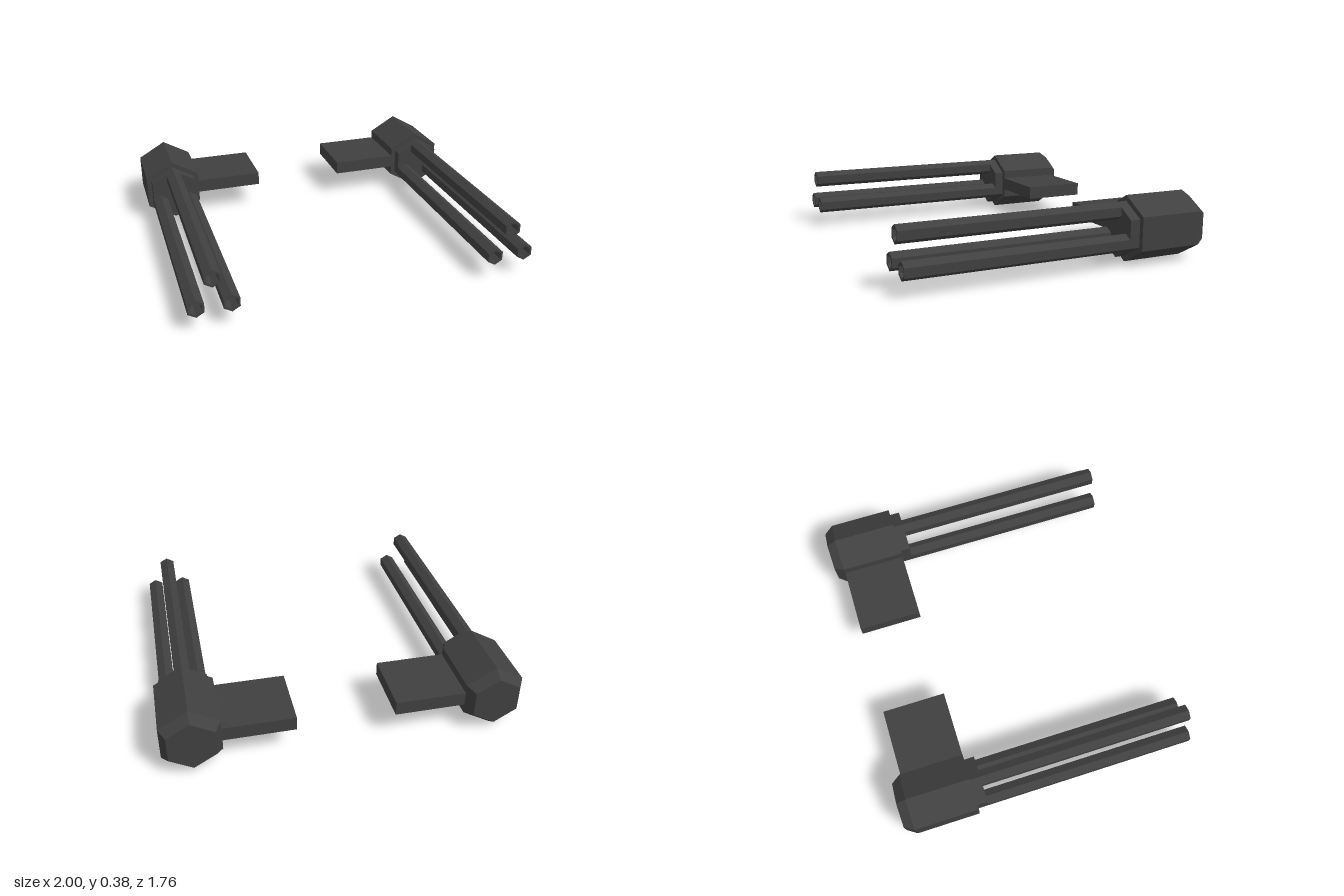
import * as THREE from 'three';

const AXIS_X = 0.837, AXIS_Y = 0.188;

// Six-sided solid along z from [radius, z] pairs, back to front
function hexTurned(name, profile, material) {
  const points = profile.map(([r, z]) => new THREE.Vector2(r, z));
  const geometry = new THREE.LatheGeometry(points, 6).rotateX(Math.PI / 2);
  const mesh = new THREE.Mesh(geometry, material);
  mesh.name = name;
  return mesh;
}

function createGun(side, material) {
  const gun = new THREE.Group();
  gun.name = side > 0 ? 'leftGun' : 'rightGun';
  gun.position.set(side * AXIS_X, AXIS_Y, 0);

  // Housing with a chamfered back
  gun.add(hexTurned('housing',
    [[0, -0.88], [0.147, -0.88], [0.188, -0.823], [0.188, -0.447], [0, -0.447]], material));

  // Collar that holds the barrels
  gun.add(hexTurned('collar',
    [[0, -0.447], [0.156, -0.447], [0.156, -0.388], [0, -0.388]], material));

  // Three hollow barrels, one on top and two below
  for (let i = 0; i < 3; i++) {
    const angle = Math.PI / 2 + i * Math.PI * 2 / 3;
    const barrel = hexTurned('barrel' + (i + 1),
      [[0.05, -0.39], [0.05, 0.88], [0.036, 0.88], [0.036, -0.386], [0, -0.386]], material);
    barrel.position.set(0.106 * Math.cos(angle), 0.106 * Math.sin(angle), 0);
    gun.add(barrel);
  }

  // Flat mounting arm pointing inward
  const arm = new THREE.Mesh(new THREE.BoxGeometry(0.399, 0.08, 0.376), material);
  arm.name = 'mountingArm';
  arm.position.set(-side * 0.3625, 0.002, -0.635);
  gun.add(arm);
  return gun;
}

export function createModel() {
  const model = new THREE.Group();
  model.name = 'gunPair';
  const material = new THREE.MeshStandardMaterial({ color: 0x404040, flatShading: true });
  for (const side of [-1, 1]) model.add(createGun(side, material));
  return model;
}
